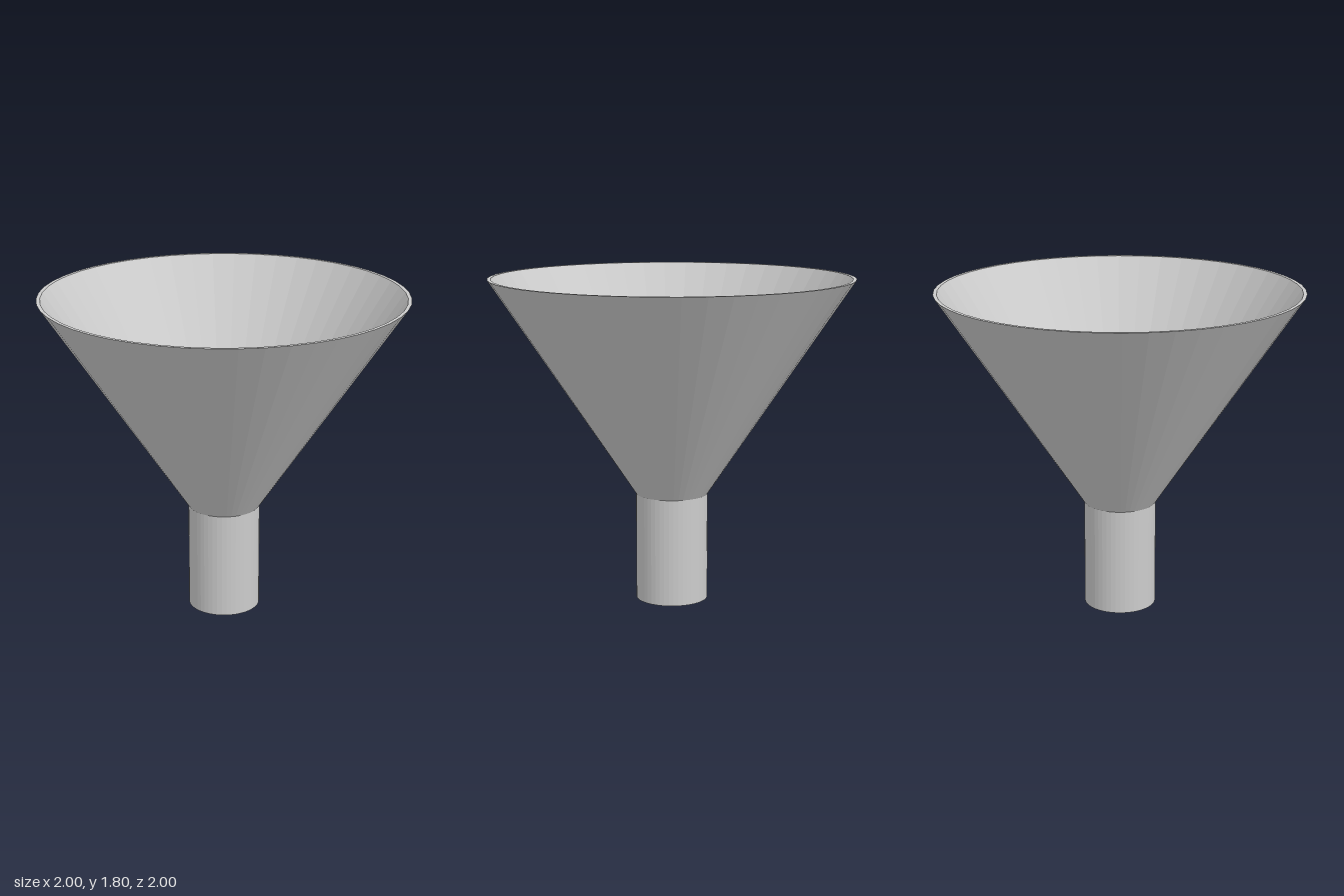
import * as THREE from 'three';

const SEGMENTS = 48;
const WALL = 0.02;

// Revolve a profile of [radius, height] points around the y axis
function revolve(name, profile, material) {
  const points = profile.map(([r, y]) => new THREE.Vector2(r, y));
  const mesh = new THREE.Mesh(new THREE.LatheGeometry(points, SEGMENTS), material);
  mesh.name = name;
  return mesh;
}

export function createModel() {
  const material = new THREE.MeshStandardMaterial({
    color: 0xcccccc, flatShading: true, side: THREE.DoubleSide,
  });
  const spoutR = 0.2, mouthR = 1, neckY = 0.6, topY = 1.8;

  const funnel = new THREE.Group();
  funnel.name = 'funnel';

  // Straight tube, open at both ends: inner wall, bottom lip, outer wall
  funnel.add(revolve('spout', [
    [spoutR - WALL, neckY], [spoutR - WALL, 0], [spoutR, 0], [spoutR, neckY],
  ], material));

  // Flared cone: outer wall, flat top rim, inner wall
  funnel.add(revolve('cone', [
    [spoutR, neckY], [mouthR, topY], [mouthR - WALL, topY], [spoutR - WALL, neckY],
  ], material));

  return funnel;
}
